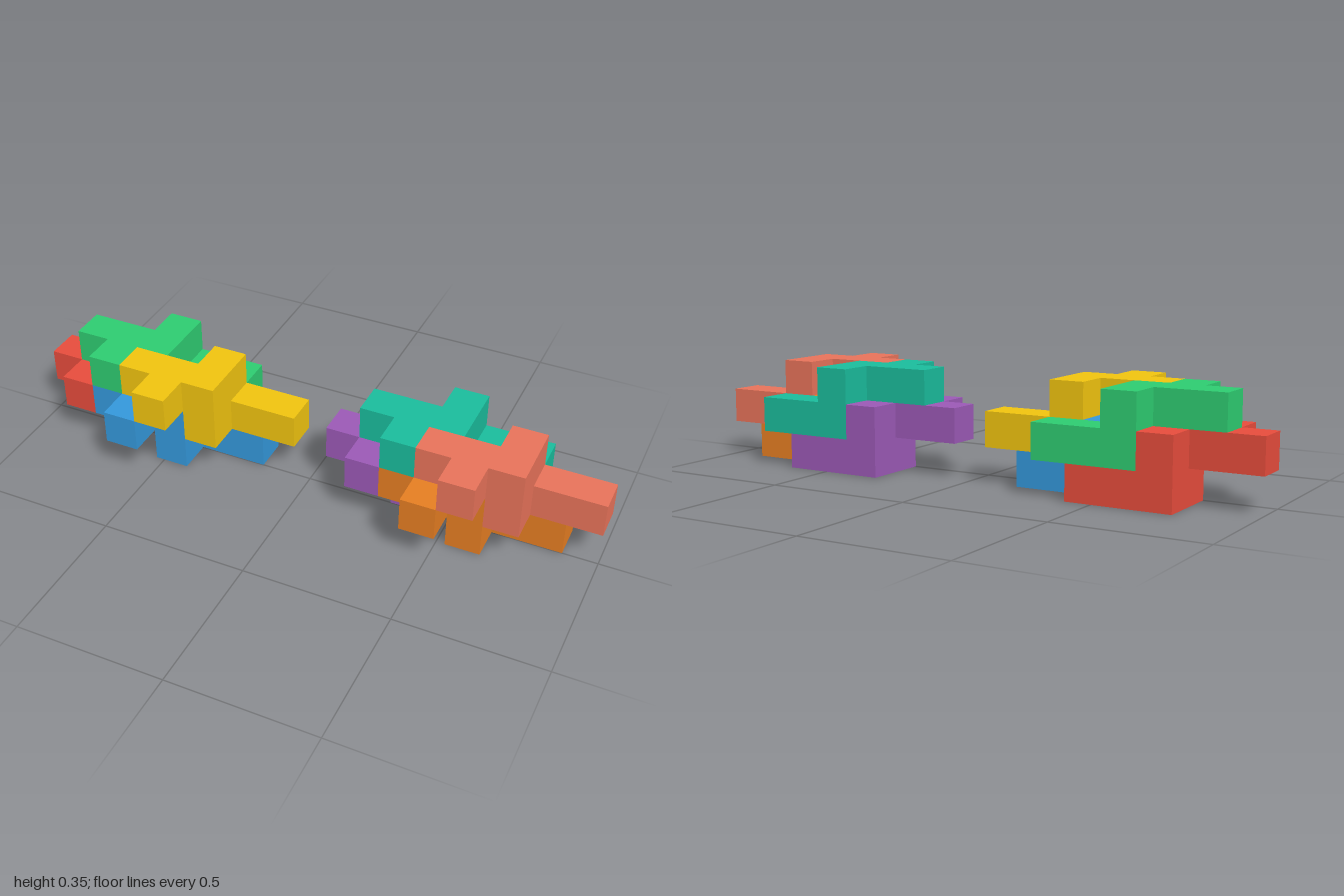
import * as THREE from 'three';
import { mergeGeometries } from 'three/addons/utils/BufferGeometryUtils.js';

// Edge of one cube: the whole row is 17 cubes long.
const U = 2 / 17;

// Cubes of one puzzle piece as [x, y, z]: a branched upper layer and a hooked lower one.
const CELLS = [
  [0, 1, 1], [1, 1, 1], [2, 1, 1], [1, 1, 2], [2, 1, 0],
  [2, 0, 1], [2, 0, 0], [3, 0, 0], [4, 0, 0],
];

// Outward directions of a cube, with the rotation that turns a +z plane to face each one.
const SIDES = [
  [[0, 0, 1], [0, 0]], [[0, 0, -1], [0, Math.PI]],
  [[1, 0, 0], [0, Math.PI / 2]], [[-1, 0, 0], [0, -Math.PI / 2]],
  [[0, 1, 0], [-Math.PI / 2, 0]], [[0, -1, 0], [Math.PI / 2, 0]],
];

// Outer skin of the piece: every cube side that has no neighbour in the same piece.
function pieceGeometry() {
  const filled = new Set(CELLS.map(String));
  const faces = [];
  for (const cell of CELLS) {
    for (const [dir, [rx, ry]] of SIDES) {
      if (filled.has(String(cell.map((c, a) => c + dir[a])))) continue;
      const centre = cell.map((c, a) => (c + 0.5 + dir[a] / 2) * U);
      faces.push(new THREE.PlaneGeometry(U, U).rotateX(rx).rotateY(ry).translate(...centre));
    }
  }
  return mergeGeometries(faces);
}

// Where the four interlocking pieces sit in a cluster, in cubes.
const PLACES = [
  ['lowerBackPiece', [0, 0, 0]],
  ['lowerFrontPiece', [2, 0, 1]],
  ['upperBackPiece', [1, 1, 0]],
  ['upperFrontPiece', [3, 1, 1]],
];

function cluster(name, geometry, colors) {
  const group = new THREE.Group();
  group.name = name;
  PLACES.forEach(([label, place], i) => {
    const material = new THREE.MeshStandardMaterial({ color: colors[i], flatShading: true });
    const mesh = new THREE.Mesh(geometry, material);
    mesh.name = label;
    mesh.position.set(...place.map((c) => c * U));
    group.add(mesh);
  });
  return group;
}

export function createModel() {
  const model = new THREE.Group();
  model.name = 'interlockingCubePieces';
  const geometry = pieceGeometry();

  // Two identical clusters in different colours, one cube apart.
  const right = cluster('rightCluster', geometry, [0xe74c3c, 0x3498db, 0x2ecc71, 0xf1c40f]);
  right.position.set(-1, 0, -2 * U);
  const left = cluster('leftCluster', geometry, [0x9b59b6, 0xe67e22, 0x1abc9c, 0xe8735a]);
  left.position.set(-1 + 9 * U, 0, -2 * U);

  model.add(right, left);
  return model;
}
